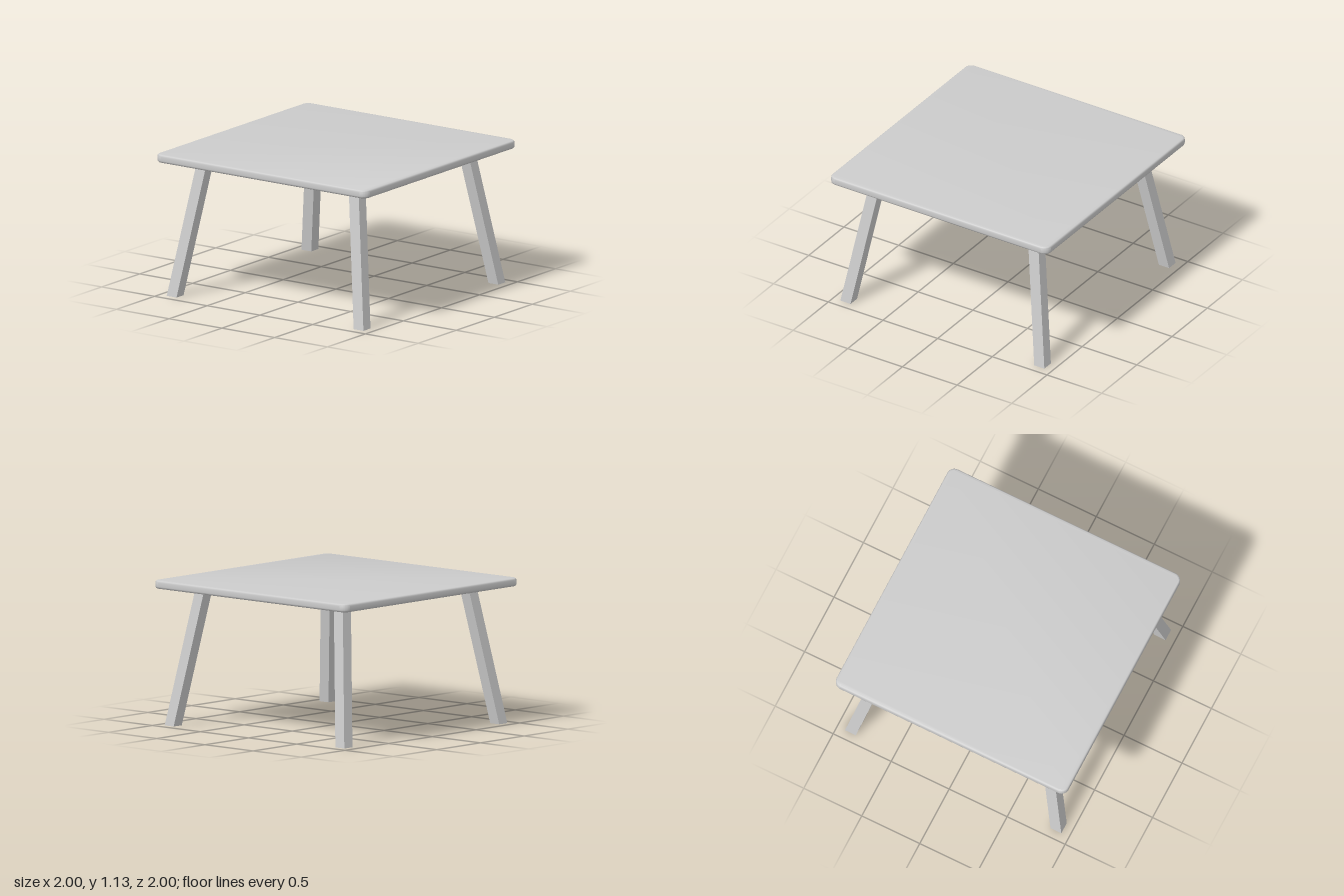
import * as THREE from 'three';
import { toCreasedNormals } from 'three/addons/utils/BufferGeometryUtils.js';

const TOP_Y = 1.13, UNDER_Y = 1.065;   // table top faces
const CORNER = 0.06, BEVEL = 0.018;    // plan corner radius, edge rounding
const LEG = 0.093, FOOT = 0.886, HEAD = 0.718; // leg width, centre offsets

const material = new THREE.MeshStandardMaterial({ color: 0xcccccc });

// Square slab with rounded corners and softened edges
function tableTop() {
  const h = 1 - BEVEL, r = CORNER - BEVEL, c = h - r;
  const shape = new THREE.Shape();
  [[1, 1], [-1, 1], [-1, -1], [1, -1]].forEach(([sx, sy], i) => {
    shape.absarc(sx * c, sy * c, r, i * Math.PI / 2, (i + 1) * Math.PI / 2, false);
  });
  const geometry = new THREE.ExtrudeGeometry(shape, {
    depth: TOP_Y - UNDER_Y - 2 * BEVEL,
    bevelThickness: BEVEL, bevelSize: BEVEL, bevelSegments: 4, curveSegments: 8,
  });
  geometry.rotateX(-Math.PI / 2).translate(0, UNDER_Y + BEVEL, 0);
  const mesh = new THREE.Mesh(toCreasedNormals(geometry, Math.PI / 5), material);
  mesh.name = 'tableTop';
  return mesh;
}

// Square post sheared so it splays outwards, with level ends
function leg(sx, sz, name) {
  const geometry = new THREE.BoxGeometry(LEG, UNDER_Y, LEG).translate(0, UNDER_Y / 2, 0);
  const p = geometry.attributes.position;
  for (let i = 0; i < p.count; i++) {
    const offset = THREE.MathUtils.lerp(FOOT, HEAD, p.getY(i) / UNDER_Y);
    p.setX(i, p.getX(i) + sx * offset);
    p.setZ(i, p.getZ(i) + sz * offset);
  }
  geometry.computeVertexNormals();
  const mesh = new THREE.Mesh(geometry, material);
  mesh.name = name;
  return mesh;
}

export function createModel() {
  const table = new THREE.Group();
  table.name = 'table';
  table.add(
    tableTop(),
    leg(1, 1, 'frontLeftLeg'),
    leg(-1, 1, 'frontRightLeg'),
    leg(1, -1, 'backLeftLeg'),
    leg(-1, -1, 'backRightLeg'),
  );
  return table;
}
